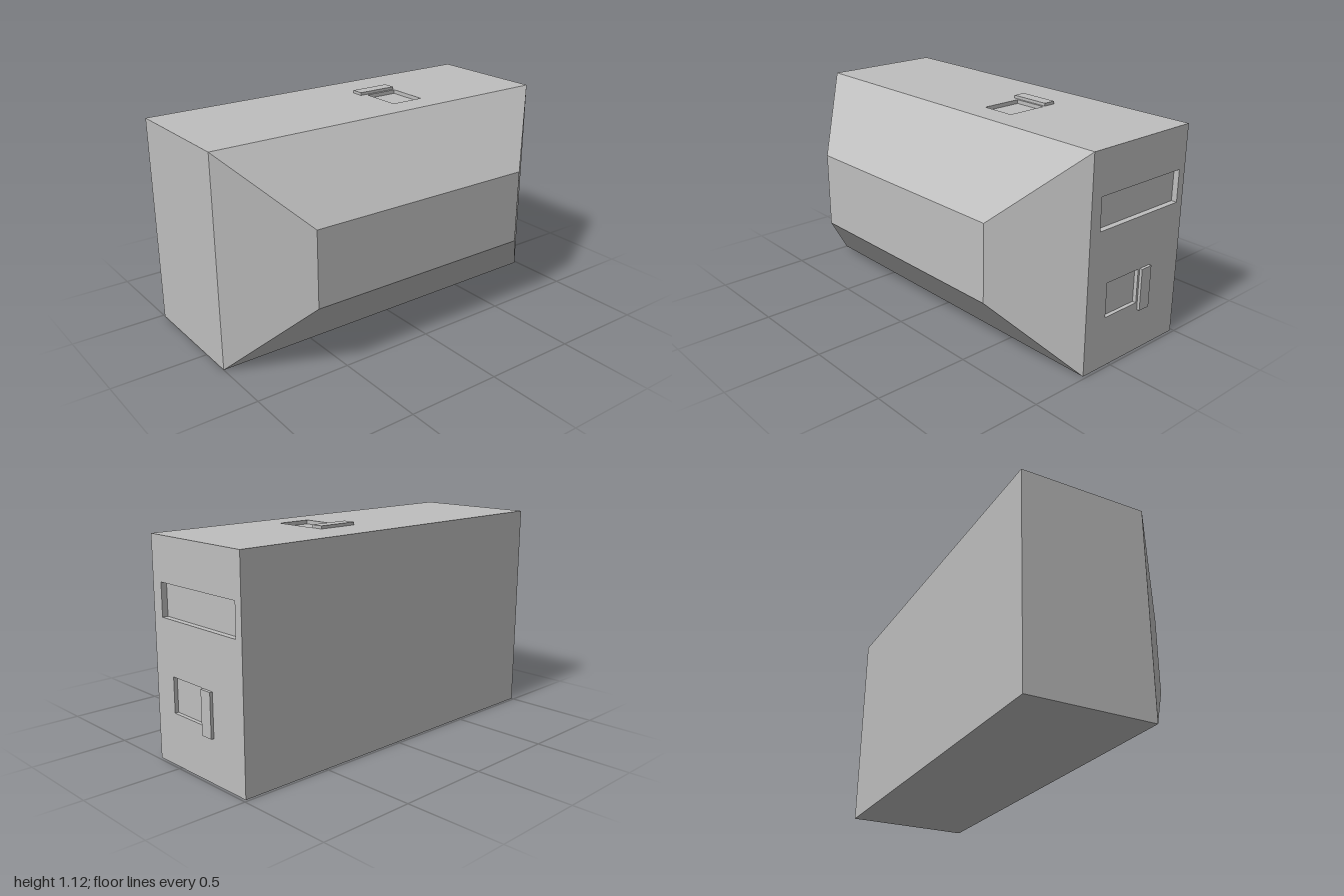
import * as THREE from 'three';

const X0 = -1, X1 = 0.985, TOP = 1.105;
const BACK = -0.487, SHOULDER = 0.175, FRONT = 0.489;

// Flat-shaded geometry from quads whose corners run counter-clockwise
function quads(list) {
  const pos = list.flatMap(([a, b, c, d]) => [a, b, c, a, c, d].flat());
  const g = new THREE.BufferGeometry();
  g.setAttribute('position', new THREE.Float32BufferAttribute(pos, 3));
  g.computeVertexNormals();
  return g;
}

// Corners of a rectangle at depth z
const ring = (x0, x1, y0, y1, z) => [[x0, y0, z], [x1, y0, z], [x1, y1, z], [x0, y1, z]];

// Quad between side i of two rings
const band = (a, b, i) => [a[i], a[(i + 1) % 4], b[(i + 1) % 4], b[i]];

export function createModel() {
  const model = new THREE.Group();
  model.name = 'casing';
  const grey = new THREE.MeshStandardMaterial({ color: 0xbebebe });
  grey.name = 'light grey';

  const add = (parent, name, geometry) => {
    const mesh = new THREE.Mesh(geometry, grey);
    mesh.name = name;
    parent.add(mesh);
    return mesh;
  };

  // Flat wall facing local +z with rectangular recesses [name, u0, u1, v0, v1, depth]
  function recessedWall(name, u0, u1, v0, v1, recesses) {
    const wall = new THREE.Group();
    wall.name = name;
    const points = (a, b, c, d) => ring(a, b, c, d, 0).map(([x, y]) => new THREE.Vector2(x, y));
    const shape = new THREE.Shape(points(u0, u1, v0, v1));
    for (const [label, a, b, c, d, depth] of recesses) {
      shape.holes.push(new THREE.Path(points(a, b, c, d)));
      const rim = ring(a, b, c, d, 0), floor = ring(a, b, c, d, -depth);
      add(wall, label, quads([floor, ...[0, 1, 2, 3].map((i) => band(rim, floor, i))]));
    }
    add(wall, name + 'Face', new THREE.ShapeGeometry(shape));
    model.add(wall);
    return wall;
  }

  // Body: back, left side and underside
  const back = ring(X0, X1, 0, TOP, BACK);
  const shoulder = ring(X0, X1, 0, TOP, SHOULDER);
  const face = ring(-0.65, 0.633, 0.354, 0.753, FRONT);
  add(model, 'body', quads([[...back].reverse(), band(back, shoulder, 0), band(back, shoulder, 3)]));

  // Tapered front
  add(model, 'taperedFront', quads([face, ...[0, 1, 2, 3].map((i) => band(shoulder, face, i))]));

  // Side wall with a long slot and a square pocket (local u is -z)
  const side = recessedWall('sideWall', -SHOULDER, -BACK, 0, TOP, [
    ['longSlot', -0.11, 0.445, 0.718, 0.885, 0.03],
    ['sidePocket', -0.04, 0.184, 0.264, 0.443, 0.02],
  ]);
  side.rotation.y = Math.PI / 2;
  side.position.x = X1;

  // Top wall with a pocket (local v is -z)
  const top = recessedWall('topWall', X0, X1, -SHOULDER, -BACK, [
    ['topPocket', 0.14, 0.323, -0.037, 0.187, 0.02],
  ]);
  top.rotation.x = -Math.PI / 2;
  top.position.y = TOP;

  // Raised tabs beside the pockets
  add(model, 'sideTab', new THREE.BoxGeometry(0.015, 0.221, 0.069)).position.set(X1 + 0.0075, 0.3325, -0.2305);
  add(model, 'topTab', new THREE.BoxGeometry(0.219, 0.015, 0.067)).position.set(0.213, TOP + 0.0075, -0.2325);

  return model;
}
